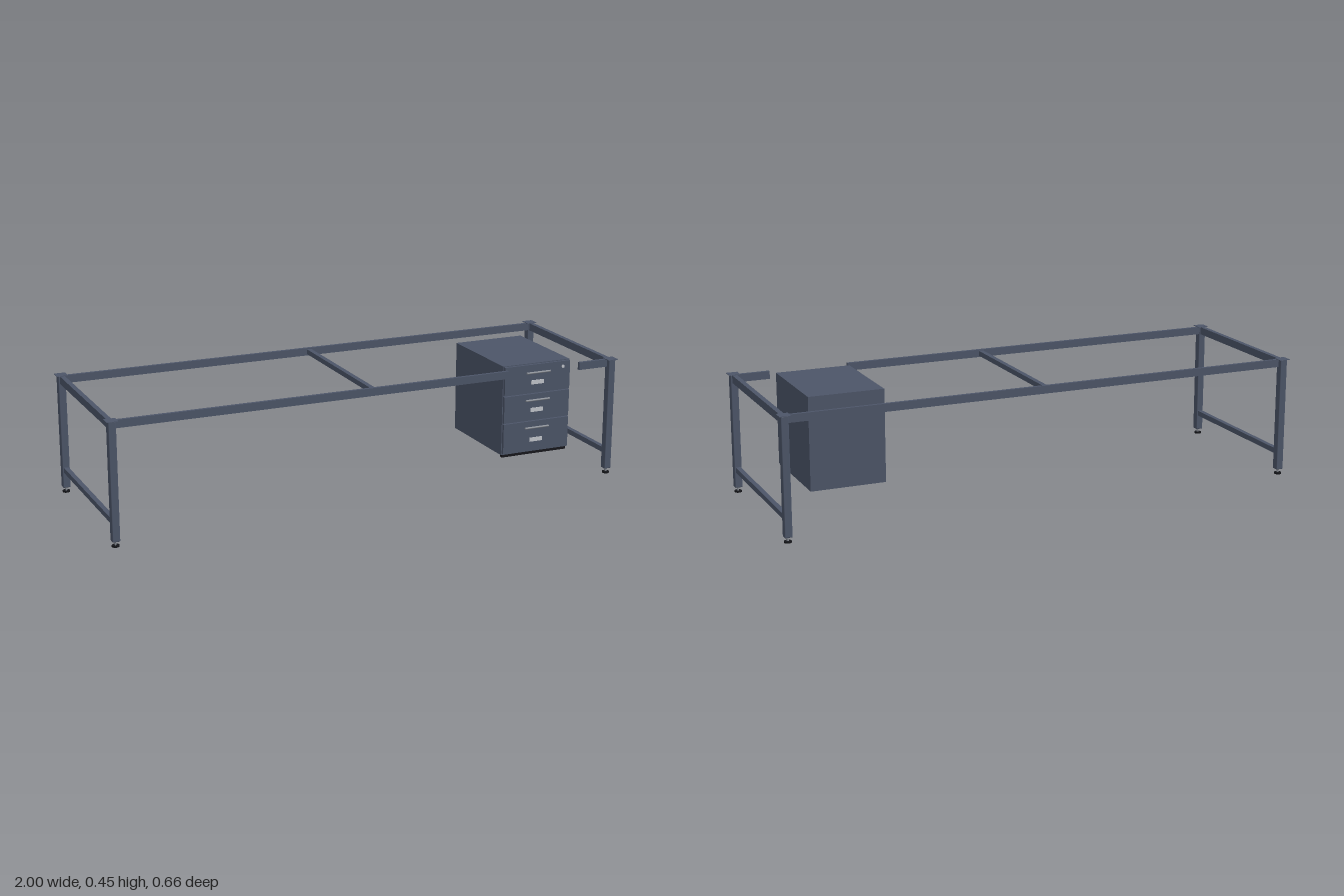
import * as THREE from 'three';
import { RoundedBoxGeometry } from 'three/addons/geometries/RoundedBoxGeometry.js';

const mat = (name, color) => {
  const m = new THREE.MeshStandardMaterial({ color });
  m.name = name;
  return m;
};

export function createModel() {
  const slate = mat('slate paint', 0x4c5568);
  const black = mat('black plastic', 0x15161a);
  const grey = mat('grey metal', 0x858a92);
  const silver = mat('light label', 0xc2c6cc);

  const model = new THREE.Group();
  model.name = 'deskFrame';

  const add = (parent, name, geo, m, x, y, z) => {
    const mesh = new THREE.Mesh(geo, m);
    mesh.name = name;
    mesh.position.set(x, y, z);
    parent.add(mesh);
    return mesh;
  };
  // box given by its limits on each axis
  const box = (parent, name, m, [x0, x1], [y0, y1], [z0, z1]) =>
    add(parent, name, new THREE.BoxGeometry(x1 - x0, y1 - y0, z1 - z0), m,
      (x0 + x1) / 2, (y0 + y1) / 2, (z0 + z1) / 2);

  const LX = 0.979, LZ = 0.31;
  const railY = [0.423, 0.452];

  // legs with top plates and levelling feet
  for (const sx of [-1, 1]) {
    for (const sz of [-1, 1]) {
      const leg = new THREE.Group();
      leg.name = 'leg';
      leg.position.set(sx * LX, 0, sz * LZ);
      model.add(leg);
      add(leg, 'legPost', new RoundedBoxGeometry(0.028, 0.432, 0.028, 2, 0.003), slate, 0, 0.236, 0);
      add(leg, 'topPlate', new THREE.BoxGeometry(0.042, 0.002, 0.042), slate, 0, 0.453, 0);
      add(leg, 'footStem', new THREE.CylinderGeometry(0.004, 0.004, 0.018, 12), grey, 0, 0.014, 0);
      add(leg, 'footPad', new THREE.CylinderGeometry(0.0135, 0.0135, 0.006, 20), black, 0, 0.003, 0);
      // bracket joining the leg and the side rail
      add(leg, 'railBracket', new THREE.BoxGeometry(0.01, 0.024, 0.008), slate, 0, 0.44, -sz * 0.015);
    }
    // side rail and lower stretcher
    const x = sx * LX;
    box(model, 'sideRail', slate, [x - 0.009, x + 0.009], railY, [-0.293, 0.293]);
    box(model, 'lowerStretcher', slate, [x - 0.009, x + 0.009], [0.079, 0.099], [-0.297, 0.297]);
  }

  // long rails: the front one is interrupted at the drawer unit
  const railZ = [0.297, 0.309];
  box(model, 'backRail', slate, [-0.966, 0.966], railY, [-0.309, -0.297]);
  box(model, 'frontRailLong', slate, [-0.966, 0.543], railY, railZ);
  box(model, 'frontRailShort', slate, [0.845, 0.966], railY, railZ);
  box(model, 'middleCrossbar', slate, [-0.009, 0.009], [0.429, 0.448], [-0.297, 0.297]);

  // drawer unit
  const unit = new THREE.Group();
  unit.name = 'drawerUnit';
  model.add(unit);
  const cx = 0.6925;
  box(unit, 'cabinetBody', slate, [0.551, 0.834], [0.109, 0.455], [-0.125, 0.253]);
  box(unit, 'plinthStrip', black, [0.555, 0.83], [0.099, 0.109], [0.24, 0.253]);

  const drawers = [
    { y: [0.343, 0.452], handle: 0.422, label: 0.384 },
    { y: [0.235, 0.338], handle: 0.315, label: 0.276 },
    { y: [0.115, 0.231], handle: 0.207, label: 0.159 },
  ];
  for (const d of drawers) {
    box(unit, 'drawerFront', slate, [0.554, 0.831], d.y, [0.253, 0.264]);
    box(unit, 'labelPlate', silver, [cx - 0.027, cx + 0.027], [d.label - 0.008, d.label + 0.008], [0.264, 0.266]);
    // handle bar on two posts
    const bar = add(unit, 'handleBar', new THREE.CylinderGeometry(0.004, 0.004, 0.1, 12), grey, cx, d.handle, 0.27);
    bar.rotation.z = Math.PI / 2;
    for (const s of [-1, 1]) {
      const post = add(unit, 'handlePost', new THREE.CylinderGeometry(0.0025, 0.0025, 0.008, 10), grey,
        cx + s * 0.04, d.handle, 0.267);
      post.rotation.x = Math.PI / 2;
    }
  }
  // lock on the top drawer
  const lock = add(unit, 'lock', new THREE.CylinderGeometry(0.006, 0.006, 0.003, 16), silver, 0.8, 0.432, 0.2655);
  lock.rotation.x = Math.PI / 2;

  return model;
}
